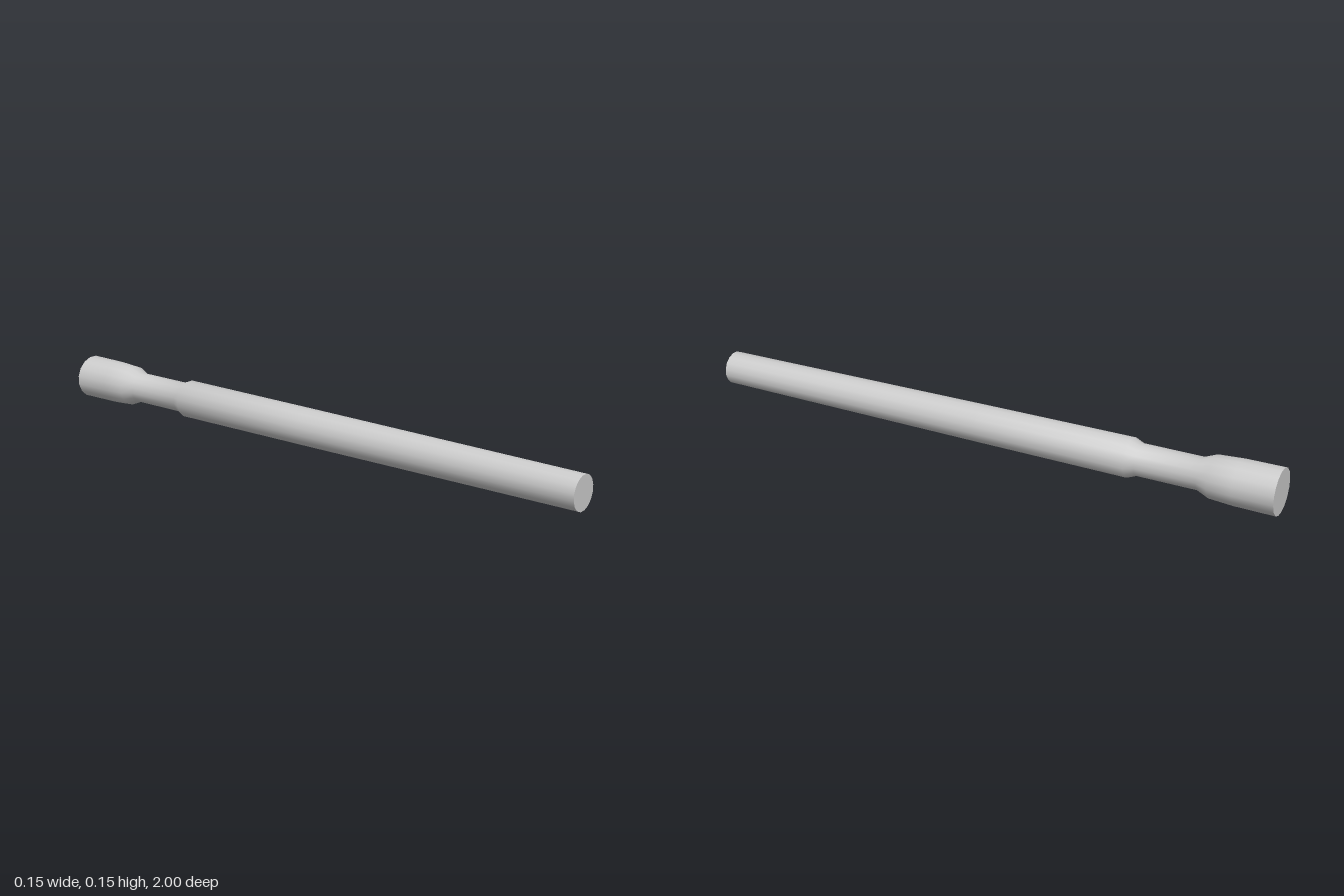
import * as THREE from 'three';
import { toCreasedNormals } from 'three/addons/utils/BufferGeometryUtils.js';

const SIDES = 16;
const AXIS_HEIGHT = 0.073;

// [half-width across flats, z] from the butt to the tip
const PROFILE = [
  [0, -1], [0.073, -1], [0.072, -0.87], [0.067, -0.79], // butt cap and grip end
  [0.051, -0.75], [0.051, -0.55],                       // narrow neck
  [0.063, -0.52], [0.061, 0], [0.055, 1], [0, 1],       // long tapering shaft and tip cap
];

export function createModel() {
  const group = new THREE.Group();
  group.name = 'turnedRod';

  // Sixteen-sided turning with flats facing the axes
  const toCorner = 1 / Math.cos(Math.PI / SIDES);
  const points = PROFILE.map(([r, z]) => new THREE.Vector2(r * toCorner, z));
  const lathe = new THREE.LatheGeometry(points, SIDES, Math.PI / SIDES);
  lathe.rotateX(Math.PI / 2);

  // Smooth sides, sharp rims around both flat ends
  const rod = new THREE.Mesh(
    toCreasedNormals(lathe, 0.7),
    new THREE.MeshStandardMaterial({ color: 0xcccccc })
  );
  rod.name = 'rod';
  rod.position.y = AXIS_HEIGHT;
  group.add(rod);
  return group;
}
